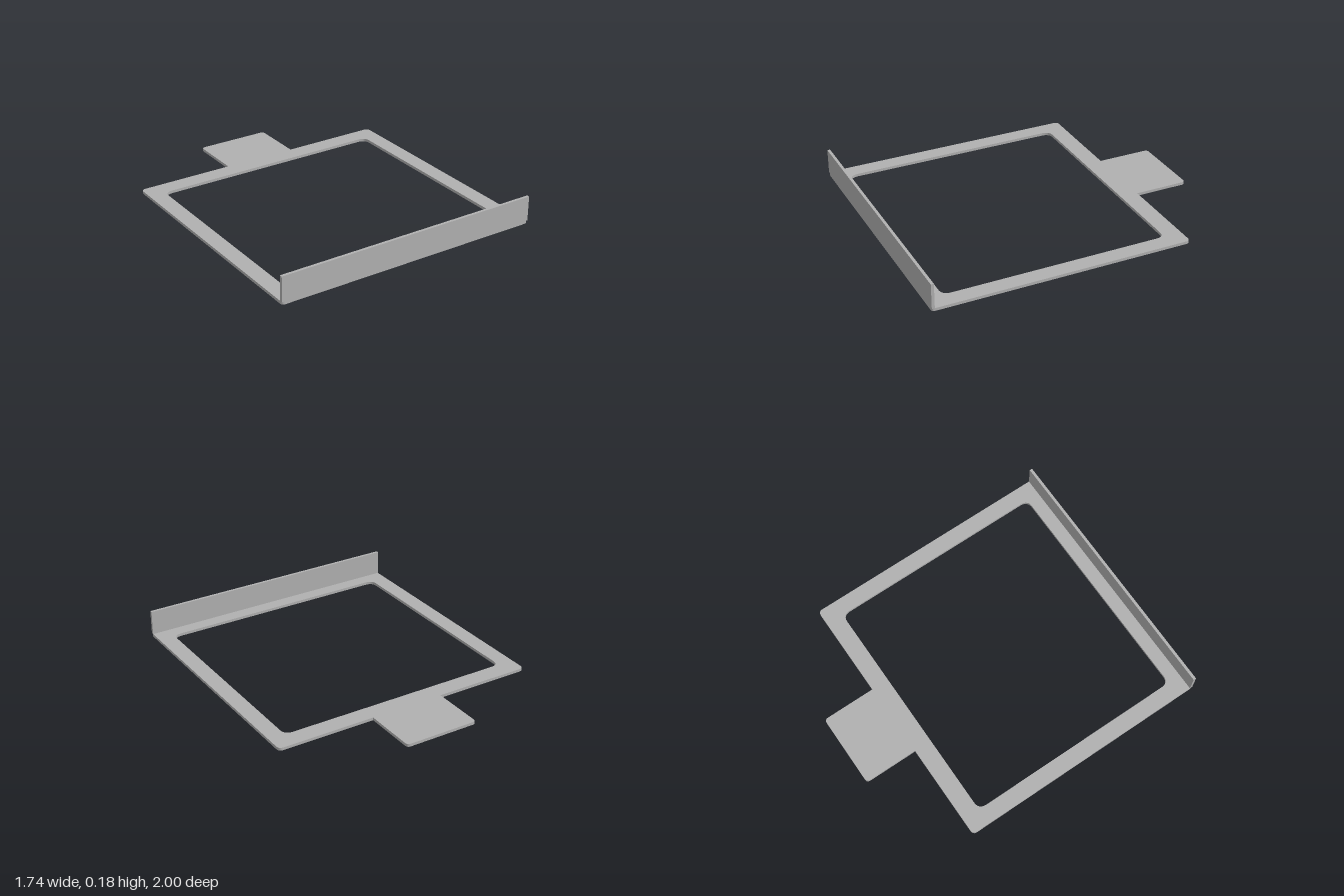
import * as THREE from 'three';

const T = 0.018; // sheet thickness

// Closed outline through [x, z, radius] corners, each rounded by its radius
function outline(target, corners) {
  const n = corners.length;
  const pts = corners.map(([x, z]) => new THREE.Vector2(x, -z));
  corners.forEach(([, , r], i) => {
    const p = pts[i];
    const toward = (q) => p.clone().add(q.clone().sub(p).setLength(r));
    const a = toward(pts[(i + n - 1) % n]);
    const b = toward(pts[(i + 1) % n]);
    if (i === 0) target.moveTo(a.x, a.y);
    else target.lineTo(a.x, a.y);
    if (r > 0) target.quadraticCurveTo(p.x, p.y, b.x, b.y);
  });
  target.closePath();
  return target;
}

export function createModel() {
  const group = new THREE.Group();
  group.name = 'bracket';
  const metal = new THREE.MeshStandardMaterial({ color: 0xb0b0b0 });
  metal.name = 'grey metal';

  // Flat frame with its rear tab
  const shape = outline(new THREE.Shape(), [
    [-0.87, 1, 0.02], [0.87, 1, 0.02], [0.87, -0.65, 0.03],
    [0.24, -0.65, 0], [0.24, -1, 0.025], [-0.24, -1, 0.025],
    [-0.24, -0.65, 0], [-0.87, -0.65, 0.03],
  ]);

  // Rounded opening
  shape.holes.push(outline(new THREE.Path(), [
    [-0.765, -0.535, 0.055], [0.765, -0.535, 0.055],
    [0.765, 0.895, 0.055], [-0.765, 0.895, 0.055],
  ]));
  const plate = new THREE.ExtrudeGeometry(shape, { depth: T, bevelEnabled: false, curveSegments: 8 });
  plate.rotateX(-Math.PI / 2);
  const frame = new THREE.Mesh(plate, metal);
  frame.name = 'frameWithTab';
  group.add(frame);

  // Upright lip along the front edge
  const height = 0.177 - T;
  const lip = new THREE.Mesh(new THREE.BoxGeometry(1.74, height, T), metal);
  lip.name = 'frontLip';
  lip.position.set(0, T + height / 2, 1 - T / 2);
  group.add(lip);

  return group;
}
